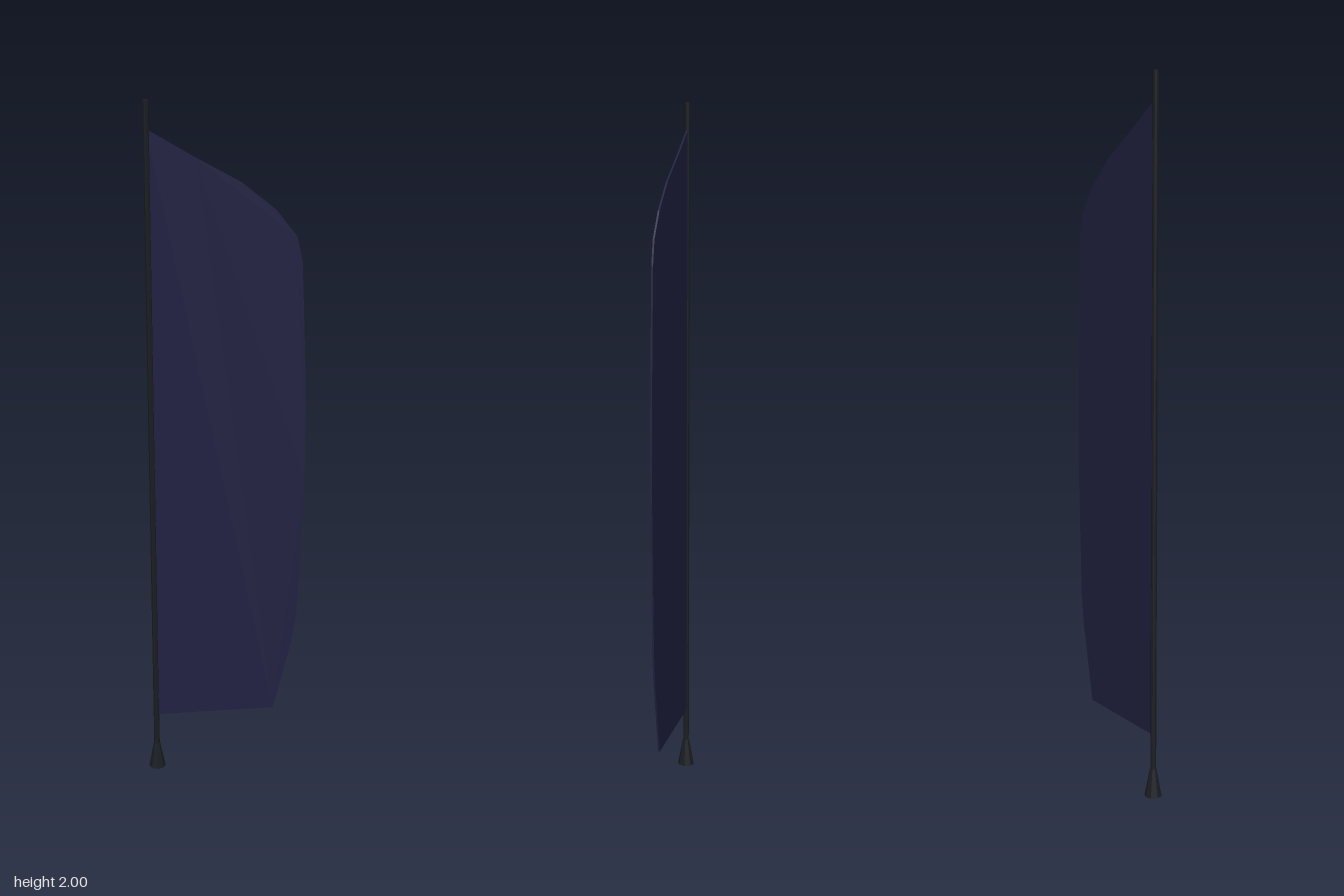
import * as THREE from 'three';

const POLE_X = -0.208;

export function createModel() {
  const group = new THREE.Group();
  const poleMaterial = new THREE.MeshStandardMaterial({ color: 0x1a1d22, flatShading: true });
  poleMaterial.name = 'charcoal';
  const clothMaterial = new THREE.MeshStandardMaterial({ color: 0x212142 });
  clothMaterial.name = 'navy cloth';

  function addPost(name, topRadius, bottomRadius, bottom, top) {
    const geometry = new THREE.CylinderGeometry(topRadius, bottomRadius, top - bottom, 8);
    const mesh = new THREE.Mesh(geometry, poleMaterial);
    mesh.name = name;
    mesh.position.set(POLE_X, (bottom + top) / 2, 0);
    group.add(mesh);
  }

  // Tall slim pole and the flared foot it stands in
  addPost('pole', 0.0085, 0.0085, 0.04, 2);
  addPost('foot', 0.0095, 0.025, 0, 0.08);

  // Sail-shaped cloth, outlined from the pole over the shoulder and down the free edge
  const outline = [
    [POLE_X, 0.178], [POLE_X, 1.924], [-0.077, 1.847], [0.045, 1.78],
    [0.14, 1.704], [0.198, 1.63], [0.214, 1.56], [0.225, 1.31],
    [0.231, 1.13], [0.231, 0.92], [0.224, 0.74], [0.214, 0.49],
    [0.2, 0.397], [0.147, 0.178],
  ].map(([x, y]) => new THREE.Vector2(x, y));
  const thickness = 0.005;
  const clothGeometry = new THREE.ExtrudeGeometry(new THREE.Shape(outline), {
    depth: thickness, bevelEnabled: false,
  });
  clothGeometry.translate(0, 0, -thickness / 2);
  const cloth = new THREE.Mesh(clothGeometry, clothMaterial);
  cloth.name = 'flagCloth';
  group.add(cloth);

  return group;
}
